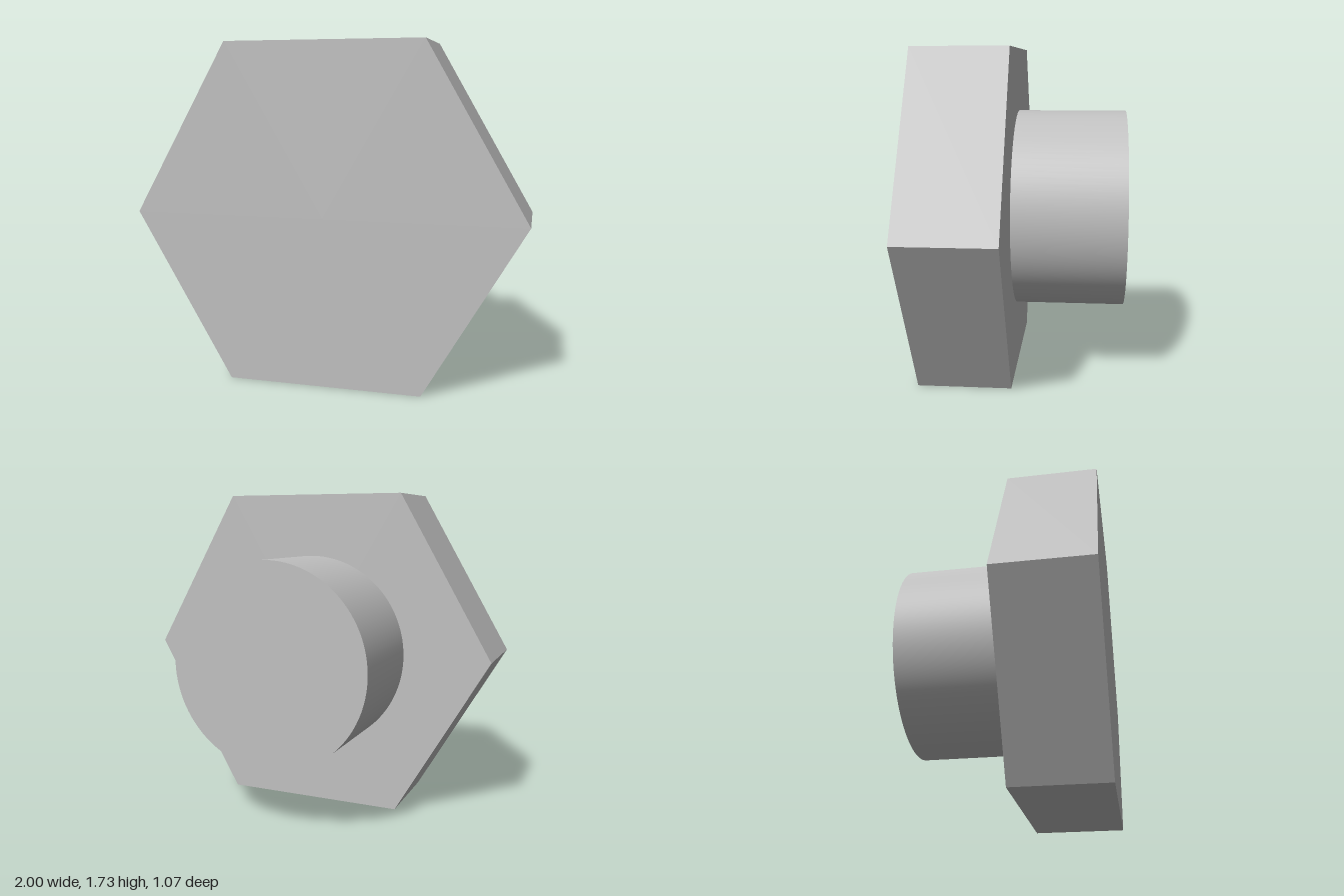
import * as THREE from 'three';

const CENTER_Y = Math.sqrt(3) / 2;

export function createModel() {
  const group = new THREE.Group();
  group.name = 'hexBolt';

  const steel = new THREE.MeshStandardMaterial({ color: 0xc0c0c0 });
  steel.name = 'light grey steel';

  // Prism or cylinder lying along z between two depths
  const addRod = (name, radius, sides, zBack, zFront, start = 0) => {
    let geometry = new THREE.CylinderGeometry(radius, radius, zFront - zBack, sides, 1, false, start);
    if (sides < 12) {
      // Hard edges between the flats
      geometry = geometry.toNonIndexed();
      geometry.computeVertexNormals();
    }
    geometry.rotateX(Math.PI / 2);
    const mesh = new THREE.Mesh(geometry, steel);
    mesh.name = name;
    mesh.position.set(0, CENTER_Y, (zBack + zFront) / 2);
    group.add(mesh);
  };

  // Hexagonal head with corners pointing left and right
  addRod('hexHead', 1, 6, 0.045, 0.533, Math.PI / 2);
  // Round shank at the back
  addRod('shank', 0.533, 96, -0.533, 0.045);

  return group;
}
